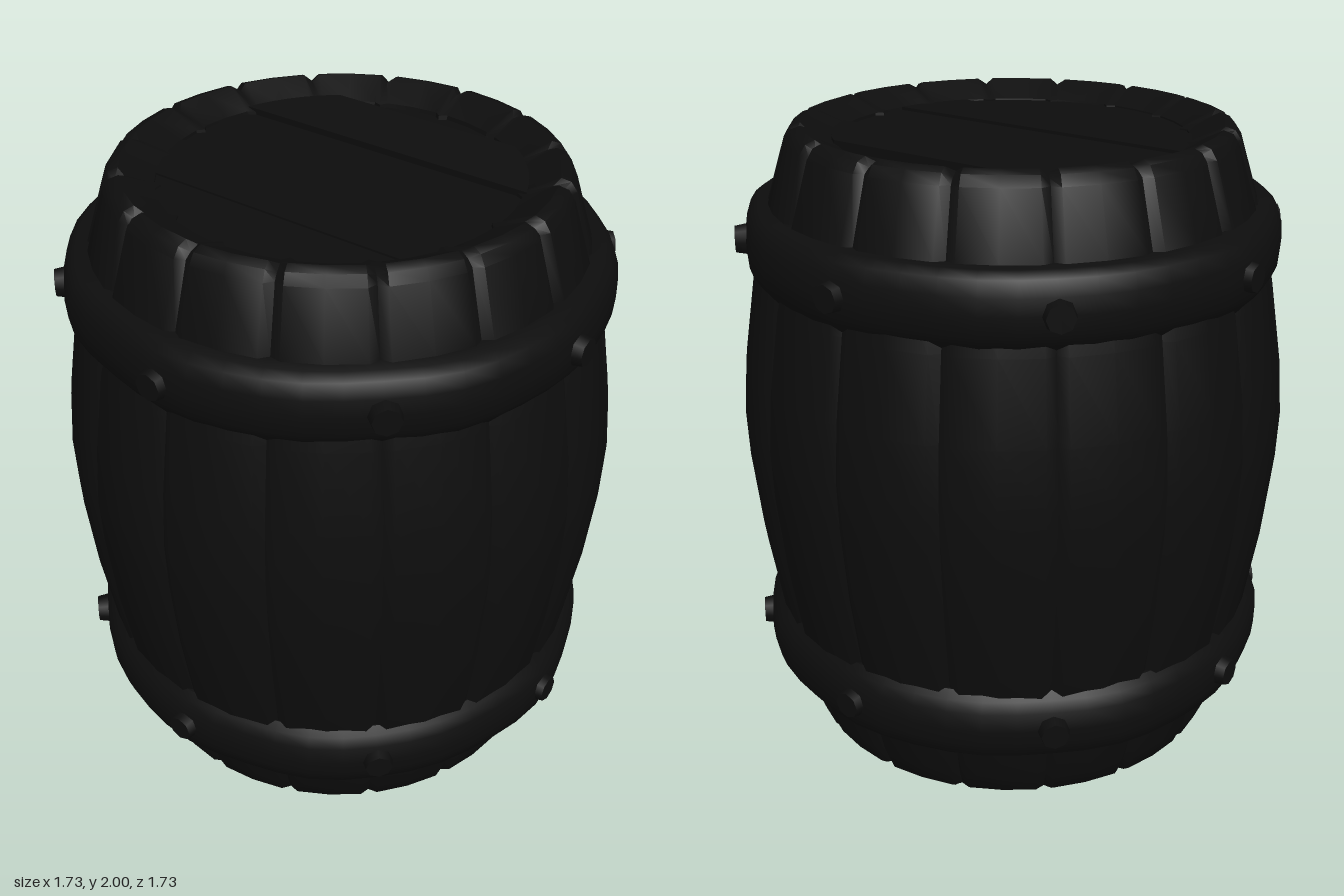
import * as THREE from 'three';
import { toCreasedNormals } from 'three/addons/utils/BufferGeometryUtils.js';

const STAVES = 16;
const wood = new THREE.MeshStandardMaterial({ color: 0x0d0d0d });
const iron = new THREE.MeshStandardMaterial({ color: 0x0d0d0d });
const points = (list) => list.map(([r, y]) => new THREE.Vector2(r, y));

function addMesh(parent, name, geometry, material) {
  const mesh = new THREE.Mesh(geometry, material);
  mesh.name = name;
  parent.add(mesh);
  return mesh;
}

// Bulging wall: each stave spans four lathe segments, with a narrow groove between staves
function staveWall() {
  const profile = points([
    [0.54, 0.08], [0.62, 0.01], [0.655, 0], [0.68, 0.02], [0.71, 0.09], [0.745, 0.23],
    [0.79, 0.42], [0.835, 0.7], [0.86, 0.95], [0.865, 1.1], [0.85, 1.28], [0.81, 1.53],
    [0.75, 1.77], [0.69, 1.96], [0.67, 1.99], [0.64, 2], [0.54, 1.95], [0.53, 1.9],
  ]);
  const geo = new THREE.LatheGeometry(profile, STAVES * 4);
  const pos = geo.attributes.position;
  const fractions = [0, 0.1, 0.5, 0.9];
  const rows = profile.length;
  for (let i = 0; i < pos.count; i++) {
    const column = Math.floor(i / rows);
    const { x: r, y } = profile[i % rows];
    const angle = ((Math.floor(column / 4) + fractions[column % 4]) / STAVES) * Math.PI * 2;
    const groove = column % 4 === 0;
    const radius = groove ? r - 0.018 : r;
    const height = groove && y > 1.98 ? y - 0.015 : groove && y < 0.015 ? y + 0.01 : y;
    pos.setXYZ(i, radius * Math.sin(angle), height, radius * Math.cos(angle));
  }
  return toCreasedNormals(geo, 0.7);
}

// Rounded iron band with a slightly hammered outline
function hoopGeometry() {
  const profile = points([
    [0.74, -0.115], [0.785, -0.115], [0.805, -0.09], [0.825, -0.06], [0.83, 0],
    [0.825, 0.05], [0.81, 0.095], [0.785, 0.115], [0.73, 0.115],
  ]);
  const geo = new THREE.LatheGeometry(profile, 48);
  const pos = geo.attributes.position;
  for (let i = 0; i < pos.count; i++) {
    const a = Math.atan2(pos.getX(i), pos.getZ(i));
    const k = 1 + 0.005 * Math.sin(a * 7) + 0.004 * Math.cos(a * 12);
    pos.setXYZ(i, pos.getX(i) * k, pos.getY(i), pos.getZ(i) * k);
  }
  return toCreasedNormals(geo, 0.8);
}

// One lid board: a strip of a disc between z0 and z1, lying flat
function boardGeometry(z0, z1, radius, depth) {
  const outline = [];
  for (const side of [1, -1]) {
    for (let i = 0; i <= 6; i++) {
      const t = side > 0 ? i / 6 : 1 - i / 6;
      const z = z0 + (z1 - z0) * t;
      outline.push(new THREE.Vector2(side * Math.sqrt(Math.max(0, radius * radius - z * z)), z));
    }
  }
  const geo = new THREE.ExtrudeGeometry(new THREE.Shape(outline), { depth, bevelEnabled: false });
  return geo.rotateX(-Math.PI / 2);
}

// Boards of uneven height closing one end
function lid(name, y, facing) {
  const group = new THREE.Group();
  group.name = name;
  const edges = [-0.55, -0.32, -0.1, 0.2, 0.44, 0.55];
  const lift = [0, 0.006, -0.004, 0.012, -0.008];
  for (let i = 0; i < 5; i++) {
    const board = addMesh(group, 'lidBoard', boardGeometry(edges[i], edges[i + 1], 0.55, 0.04), wood);
    board.position.y = y - 0.02 + lift[i] * facing;
    if (i === 3) board.rotation.x = 0.02;
  }
  return group;
}

export function createModel() {
  const barrel = new THREE.Group();
  barrel.name = 'barrel';
  addMesh(barrel, 'staves', staveWall(), wood);
  barrel.add(lid('topLid', 1.925, 1), lid('bottomLid', 0.1, -1));

  // Two bands, each with studs around it
  const band = hoopGeometry();
  const stud = new THREE.CylinderGeometry(0.042, 0.055, 0.07, 8).rotateX(Math.PI / 2);
  for (const [name, y, flip] of [['upperHoop', 1.655, 1], ['lowerHoop', 0.345, -1]]) {
    const hoop = new THREE.Group();
    hoop.name = name;
    hoop.position.y = y;
    const ring = addMesh(hoop, 'band', band, iron);
    if (flip < 0) ring.rotation.z = Math.PI;
    for (let i = 0; i < 8; i++) {
      const a = (i / 8) * Math.PI * 2;
      const head = addMesh(hoop, 'stud', stud, iron);
      head.position.set(Math.sin(a) * 0.82, 0, Math.cos(a) * 0.82);
      head.rotation.y = a;
    }
    barrel.add(hoop);
  }
  return barrel;
}
